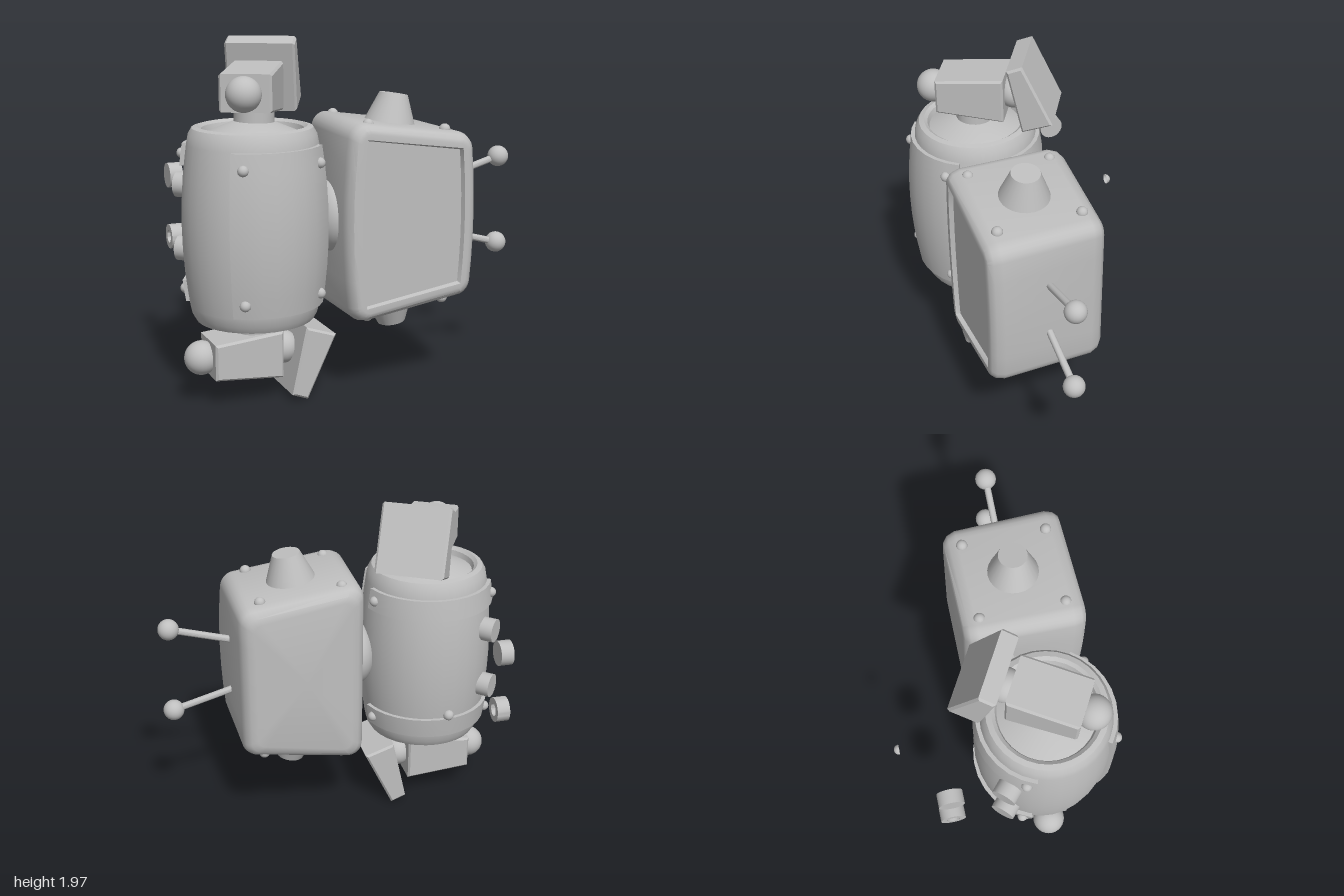
import * as THREE from 'three';
import { toCreasedNormals } from 'three/addons/utils/BufferGeometryUtils.js';

const grey = new THREE.MeshStandardMaterial({ color: 0xbfbfbf, side: THREE.DoubleSide });
grey.name = 'grey';
const V = (x, y, z) => new THREE.Vector3(x, y, z);
const UP = V(0, 1, 0);
const rad = THREE.MathUtils.degToRad;
const MID = 0.992;            // mirror height shared by both bodies
const BX = -0.59, BZ = 0.2;   // barrel axis

function add(parent, name, geo, x = 0, y = 0, z = 0) {
  const m = new THREE.Mesh(geo, grey);
  m.name = name;
  m.position.set(x, y, z);
  parent.add(m);
  return m;
}

// Small domed screw head pointing along dir
function screw(parent, pos, dir, r = 0.03) {
  const m = add(parent, 'screw', new THREE.SphereGeometry(r, 12, 6, 0, Math.PI * 2, 0, Math.PI / 2), pos.x, pos.y, pos.z);
  m.quaternion.setFromUnitVectors(UP, dir.clone().normalize());
  return m;
}

// Cylinder or cone running from a to b
function rod(parent, name, a, b, ra, rb, seg = 24) {
  const d = b.clone().sub(a), c = a.clone().add(b).multiplyScalar(0.5);
  const geo = toCreasedNormals(new THREE.CylinderGeometry(rb, ra, d.length(), seg), 0.7);
  const m = add(parent, name, geo, c.x, c.y, c.z);
  m.quaternion.setFromUnitVectors(UP, d.normalize());
  return m;
}

// Bevelled slab with the given side profile, centred on z
function slab(parent, name, pts, width) {
  const b = 0.012;
  const shape = new THREE.Shape(pts.map(p => new THREE.Vector2(...p)));
  const geo = new THREE.ExtrudeGeometry(shape, { depth: width - 2 * b, bevelThickness: b, bevelSize: b, bevelOffset: -b, bevelSegments: 1 });
  geo.translate(0, 0, -width / 2 + b);
  return add(parent, name, geo);
}

// Tapered block with a ball in front and a tilted paddle behind; flip turns the paddle over
function limb(parent, name, x, y, angle, flip) {
  const g = new THREE.Group();
  g.name = name;
  g.position.set(x, y, BZ);
  g.rotation.y = angle;
  parent.add(g);
  slab(g, 'block', [[-0.195, -0.133], [0.195, -0.1], [0.195, 0.1], [-0.195, 0.133]], 0.28);
  const ball = new THREE.SphereGeometry(0.094, 28, 18);
  add(g, 'frontBall', ball, 0.235, 0, 0);
  add(g, 'rearBall', ball, -0.235, 0, 0);
  slab(g, 'paddle', [[-0.31, 0.155], [-0.485, 0.095], [-0.315, -0.26], [-0.225, -0.225]].map(([a, b]) => [a, b * flip]), 0.39);
}

const barrelR = y => 0.39 - 0.18 * (y - MID) ** 2;
const around = (deg, r, y) => V(BX + r * Math.sin(rad(deg)), y, BZ + r * Math.cos(rad(deg)));

// Curved plate wrapped on the barrel between two angles and heights
function wrapPlate(parent, name, a0, a1, y0, y1, steps) {
  const t = 0.022, pts = [new THREE.Vector2(barrelR(y0) - 0.02, y0)];
  for (let i = 0; i <= steps; i++) {
    const y = y0 + (y1 - y0) * i / steps;
    pts.push(new THREE.Vector2(barrelR(y) + t, y));
  }
  pts.push(new THREE.Vector2(barrelR(y1) - 0.02, y1));
  const geo = new THREE.LatheGeometry(pts, Math.round((a1 - a0) / 12), rad(a0), rad(a1 - a0));
  add(parent, name, toCreasedNormals(geo, 0.6), BX, 0, BZ);
  // inner edge of the end caps follows the barrel
  const cap = [...pts.slice(1, -1), ...pts.slice(1, -1).reverse().map(p => new THREE.Vector2(p.x - 0.04, p.y))];
  for (const a of [a0, a1]) {
    add(parent, name + 'End', new THREE.ShapeGeometry(new THREE.Shape(cap)), BX, 0, BZ).rotation.y = rad(a) - Math.PI / 2;
  }
}

function barrel(root) {
  const g = new THREE.Group();
  g.name = 'barrel';
  root.add(g);
  // Shell with rims and recessed ends
  const half = [[0.39, 0], [0.387, 0.13], [0.378, 0.26], [0.366, 0.36], [0.355, 0.44], [0.345, 0.49], [0.325, 0.525],
    [0.295, 0.533], [0.275, 0.518], [0.265, 0.488], [0.1, 0.558], [0, 0.558]];
  const pts = [...half.slice(1).reverse().map(([r, y]) => [r, -y]), ...half].map(([r, y]) => new THREE.Vector2(r, MID + y));
  add(g, 'barrelShell', toCreasedNormals(new THREE.LatheGeometry(pts, 32), 0.6), BX, 0, BZ);
  rod(g, 'neck', V(BX + 0.01, 1.52, BZ), V(BX + 0.01, 1.65, BZ), 0.11, 0.11);
  rod(g, 'ankle', V(BX + 0.01, 0.33, BZ), V(BX + 0.01, 0.47, BZ), 0.11, 0.11);

  // Front plate and rear bands with their screws
  wrapPlate(g, 'frontPlate', -37, 57, 0.56, 1.43, 8);
  wrapPlate(g, 'upperBand', 105, 250, 1.31, 1.43, 2);
  wrapPlate(g, 'lowerBand', 105, 250, 0.555, 0.675, 2);
  for (const [angles, ys] of [[[-27, 45], [1.345, 0.635]], [[113, 242], [1.37, 0.615]]])
    for (const a of angles) for (const y of ys)
      screw(g, around(a, barrelR(y) + 0.02, y), V(Math.sin(rad(a)), 0, Math.cos(rad(a))));

  // Round knobs on the back
  for (const y of [1.175, 0.815]) rod(g, 'knob', around(228, 0.35, y), around(228, 0.452, y), 0.07, 0.07);
}

// Box outline with rounded corners and bowed sides, counterclockwise from the front
function outline(inset, r, bow, z) {
  const pts = [], n = 5;
  const corners = [[0.575, 0.525, 1, -1], [0.575, 1.46, 1, 1], [-0.14, 1.54, -1, 1], [-0.14, 0.445, -1, -1]];
  corners.forEach(([x, y, sx, sy], k) => {
    const cx = x - sx * (inset + r), cy = y - sy * (inset + r);
    for (let i = 0; i <= n; i++) {
      const a = (k - 1 + i / n) * Math.PI / 2;
      pts.push([cx + r * Math.cos(a), cy + r * Math.sin(a)]);
    }
    if (k % 2 === 0) {
      const px = x - sx * inset, y0 = cy, y1 = k === 0 ? 1.46 - inset - r : 0.445 + inset + r;
      for (let i = 1; i < 6; i++) if (k === 0) pts.push([px, y0 + (y1 - y0) * i / 6]);
      if (k === 2) for (let i = 1; i < 6; i++) pts.push([px, y0 + (y1 - y0) * i / 6]);
    }
  });
  return pts.map(([x, y]) => {
    const b = bow * Math.max(0, 1 - ((y - MID) / 0.55) ** 2);
    const s = THREE.MathUtils.clamp((x - 0.2) / 0.3, -1, 1);
    return [x + b * s, y, z];
  });
}

function cabinet(root) {
  const g = new THREE.Group();
  g.name = 'cabinet';
  root.add(g);
  // Shell lofted from back to front, ending in a sunken screen
  const rings = [[0.08, 0.05, 0, -0.14], [0.045, 0.06, 0, -0.133], [0.015, 0.075, 0, -0.105], [0, 0.08, 0, -0.06],
    [0, 0.08, 0.038, 0.46], [0.012, 0.075, 0.038, 0.505], [0.035, 0.06, 0.038, 0.53], [0.055, 0.05, 0.038, 0.535],
    [0.083, 0.004, 0.038, 0.535], [0.092, 0.004, 0.038, 0.51]].map(r => outline(...r));
  const pos = [], n = rings[0].length;
  const tri = (...p) => p.forEach(v => pos.push(...v));
  for (let i = 0; i < n; i++) {
    const j = (i + 1) % n;
    for (let k = 0; k + 1 < rings.length; k++) {
      const a = rings[k], b = rings[k + 1];
      tri(a[i], a[j], b[j]);
      tri(a[i], b[j], b[i]);
    }
    const first = rings[0], last = rings[rings.length - 1];
    tri(first[j], first[i], [0.2, MID, -0.14]);
    tri(last[i], last[j], [0.2, MID, 0.51]);
  }
  const geo = new THREE.BufferGeometry();
  geo.setAttribute('position', new THREE.Float32BufferAttribute(pos, 3));
  add(g, 'cabinetShell', toCreasedNormals(geo, 0.6));

  // Cone knobs, screws and antennas, mirrored top to bottom
  for (const s of [1, -1]) {
    const Y = y => MID + s * (y - MID);
    rod(g, 'coneKnob', V(0.222, Y(1.49), BZ), V(0.247, Y(1.655), BZ), 0.145, 0.08);
    for (const [x, y] of [[-0.02, 1.524], [0.445, 1.472]])
      for (const z of [-0.04, 0.435]) screw(g, V(x, Y(y), z), V(0.11, s, 0), 0.032);
    rod(g, 'antennaRod', V(0.5, Y(1.13), BZ), V(0.935, Y(1.252), BZ), 0.02, 0.02, 16);
    add(g, 'antennaBall', new THREE.SphereGeometry(0.061, 24, 16), 0.935, Y(1.252), BZ);
  }
  // Domed joint to the barrel
  add(g, 'joint', new THREE.SphereGeometry(0.2, 28, 18), -0.14, MID, BZ).scale.x = 0.65;
}

export function createModel() {
  const root = new THREE.Group();
  root.name = 'model';
  barrel(root);
  cabinet(root);
  limb(root, 'head', BX, 1.715, rad(-120), -1);
  limb(root, 'foot', -0.67, 0.265, Math.PI, 1);

  // Loose pieces behind the barrel
  rod(root, 'looseKnob', V(-0.907, 1.175, -0.38), V(-0.832, 1.175, -0.38), 0.071, 0.071);
  const ring = new THREE.Shape().absarc(0, 0, 0.071, 0, Math.PI * 2);
  ring.holes.push(new THREE.Path().absarc(0, 0, 0.037, 0, Math.PI * 2, true));
  const ringGeo = new THREE.ExtrudeGeometry(ring, { depth: 0.075, bevelEnabled: false, curveSegments: 24 });
  add(root, 'looseRing', toCreasedNormals(ringGeo, 0.7), -0.907, 0.815, -0.38).rotation.y = Math.PI / 2;
  screw(root, V(-0.48, 0.95, -0.603), V(0, 0, -1)).name = 'looseScrew';
  return root;
}
